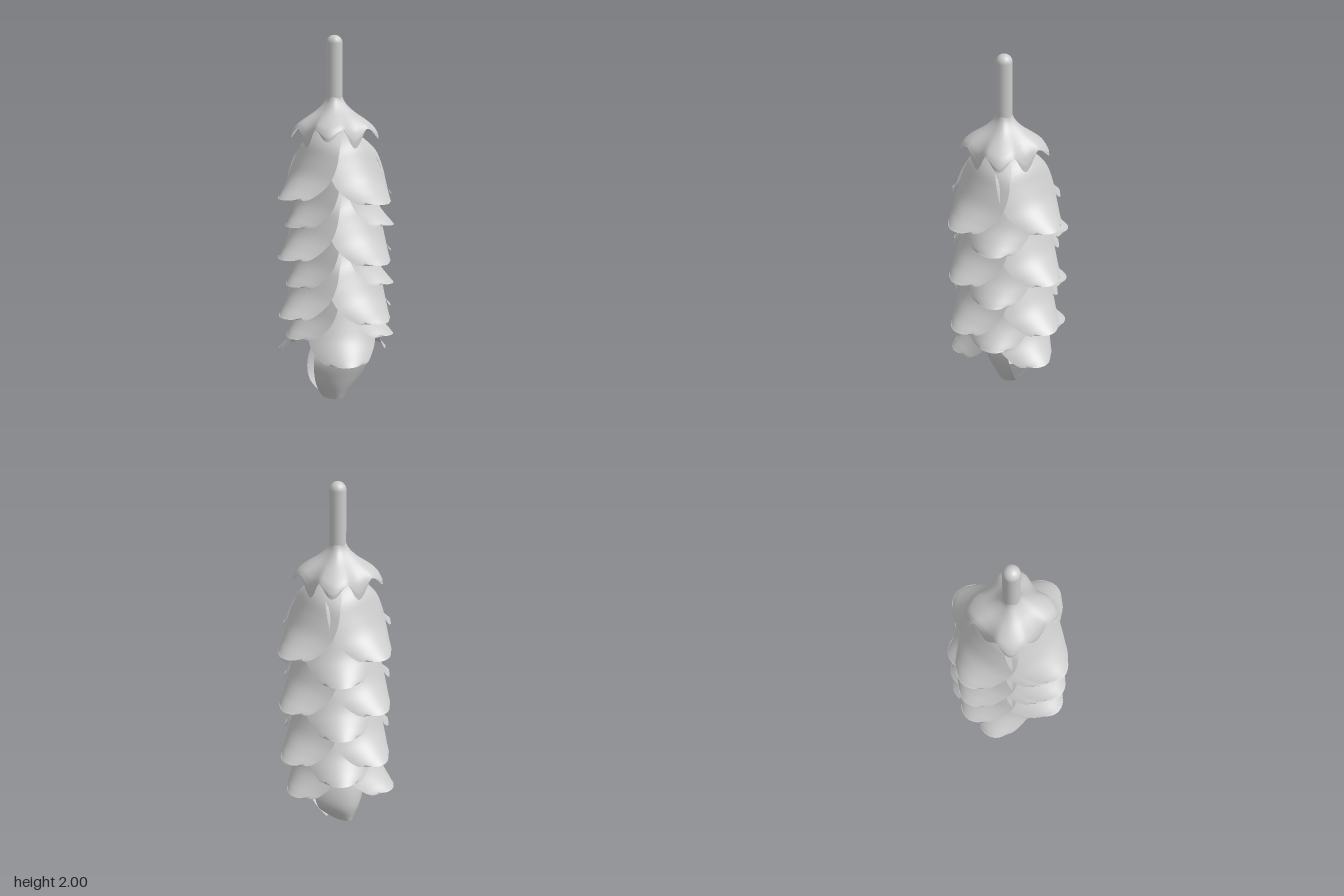
import * as THREE from 'three';

const material = new THREE.MeshStandardMaterial({ color: 0xcccccc, side: THREE.DoubleSide });
const DEG = Math.PI / 180;

// Smooth surface from a grid of points; point(u, v) with u, v in 0..1
function gridSurface(name, cols, rows, point) {
  const positions = [], index = [];
  for (let j = 0; j <= rows; j++)
    for (let i = 0; i <= cols; i++) positions.push(...point(i / cols, j / rows));
  for (let j = 0; j < rows; j++)
    for (let i = 0; i < cols; i++) {
      const a = j * (cols + 1) + i, b = a + 1, c = a + cols + 1, d = c + 1;
      index.push(a, b, c, b, d, c);
    }
  const geometry = new THREE.BufferGeometry();
  geometry.setAttribute('position', new THREE.Float32BufferAttribute(positions, 3));
  geometry.setIndex(index);
  geometry.computeVertexNormals();
  const mesh = new THREE.Mesh(geometry, material);
  mesh.name = name;
  return mesh;
}

// Petal spines: [distance from axis, height above tip, half width]
const FLARED = [
  [0.03, 0.36, 0.055], [0.1, 0.348, 0.12], [0.165, 0.29, 0.17], [0.205, 0.205, 0.188],
  [0.25, 0.12, 0.177], [0.307, 0.06, 0.145], [0.35, 0.024, 0.118], [0.377, 0, 0.09],
];
const HANGING = [
  [0.03, 0.42, 0.06], [0.1, 0.38, 0.13], [0.15, 0.25, 0.17], [0.165, 0.12, 0.155], [0.14, 0.01, 0.08],
];
const TUCKED = [
  [0.03, 0.42, 0.06], [0.1, 0.36, 0.13], [0.125, 0.25, 0.165], [0.085, 0.12, 0.14], [0.03, 0, 0.075],
];

// A cupped bract facing the given angle (0 = +x, 90 = +z)
function petal(name, spine, angle, tipY, { reach = 1, cup = 0.048, droop = 0.036 } = {}) {
  const curve = new THREE.CatmullRomCurve3(spine.map((p) => new THREE.Vector3(...p)));
  const cos = Math.cos(angle * DEG), sin = Math.sin(angle * DEG);
  return gridSurface(name, 20, 28, (u, v) => {
    const p = curve.getPoint(v), s = 2 * u - 1;
    // Sides curl in and down, and one side tucks under its neighbour near the base
    const r = p.x * reach - cup * s * s * Math.min(1, v * 5) - 0.015 * s * (1 - v) ** 1.5;
    const y = tipY + p.y - droop * s * s * Math.sqrt(Math.sin(Math.PI * Math.min(v, 1))) + 0.015 * s ** 4 * v ** 10;
    const side = s * p.z;
    return [r * cos - side * sin, y, r * sin + side * cos];
  });
}

// Square cap: flares from the stem, folded into a scalloped, drooping hem
function calyx() {
  const profile = new THREE.CatmullRomCurve3([
    [0.04, 1.68], [0.05, 1.645], [0.085, 1.6], [0.135, 1.56], [0.17, 1.53], [0.184, 1.51],
  ].map(([r, y]) => new THREE.Vector3(r, y, 0)));
  return gridSurface('calyx', 96, 20, (u, v) => {
    const a = -u * Math.PI * 2, c = Math.cos(a), s = Math.sin(a);
    const p = profile.getPoint(Math.min(1, v / 0.85));
    const n = 2 + 6 * v;
    const square = (Math.abs(c) ** n + Math.abs(s) ** n) ** (-1 / n);
    // Hem points hang at the middle of each side and at the corners
    const middle = Math.max(0, Math.cos(4 * a)) ** 1.3;
    const corner = Math.max(0, -Math.cos(4 * a)) ** 2.5;
    const fold = Math.max(0, (v - 0.2) / 0.8) ** 2.5;
    return [p.x * square * c, p.y - fold * (0.1 * middle + 0.06 * corner), p.x * square * s];
  });
}

export function createModel() {
  const model = new THREE.Group();
  model.name = 'cone';

  // Main tiers of four, alternating with tiers of three
  [1.13, 0.81, 0.495].forEach((y) => {
    for (let k = 0; k < 4; k++) model.add(petal('mainPetal', FLARED, 90 * k - 5, y + (k === 2 ? 0.02 : 0)));
  });
  [0.995, 0.675, 0.39].forEach((y) => {
    model.add(petal('betweenPetal', FLARED, 53, y, { reach: 0.85 }));
    model.add(petal('betweenPetal', FLARED, 180, y, { reach: 0.83 }));
    model.add(petal('betweenPetal', FLARED, -58, y, { reach: 0.91 }));
  });

  // Lowest tier and the two closing petals at the tip
  model.add(petal('lowerPetal', FLARED, -3, 0.26, { reach: 0.88 }));
  model.add(petal('lowerPetal', FLARED, 114, 0.26, { reach: 0.83 }));
  model.add(petal('lowerPetal', FLARED, 243, 0.26, { reach: 0.93 }));
  model.add(petal('tipPetal', HANGING, -88, 0.01, { cup: 0.13, droop: 0 }));
  model.add(petal('tipPetal', TUCKED, 100, 0, { cup: 0.06, droop: 0 }));

  // Cap and round-ended stem
  const top = new THREE.Group();
  top.name = 'top';
  top.position.x = -0.012;
  const stem = new THREE.Mesh(new THREE.CapsuleGeometry(0.044, 0.312, 8, 24), material);
  stem.name = 'stem';
  stem.position.y = 1.8;
  top.add(calyx(), stem);
  model.add(top);
  return model;
}
